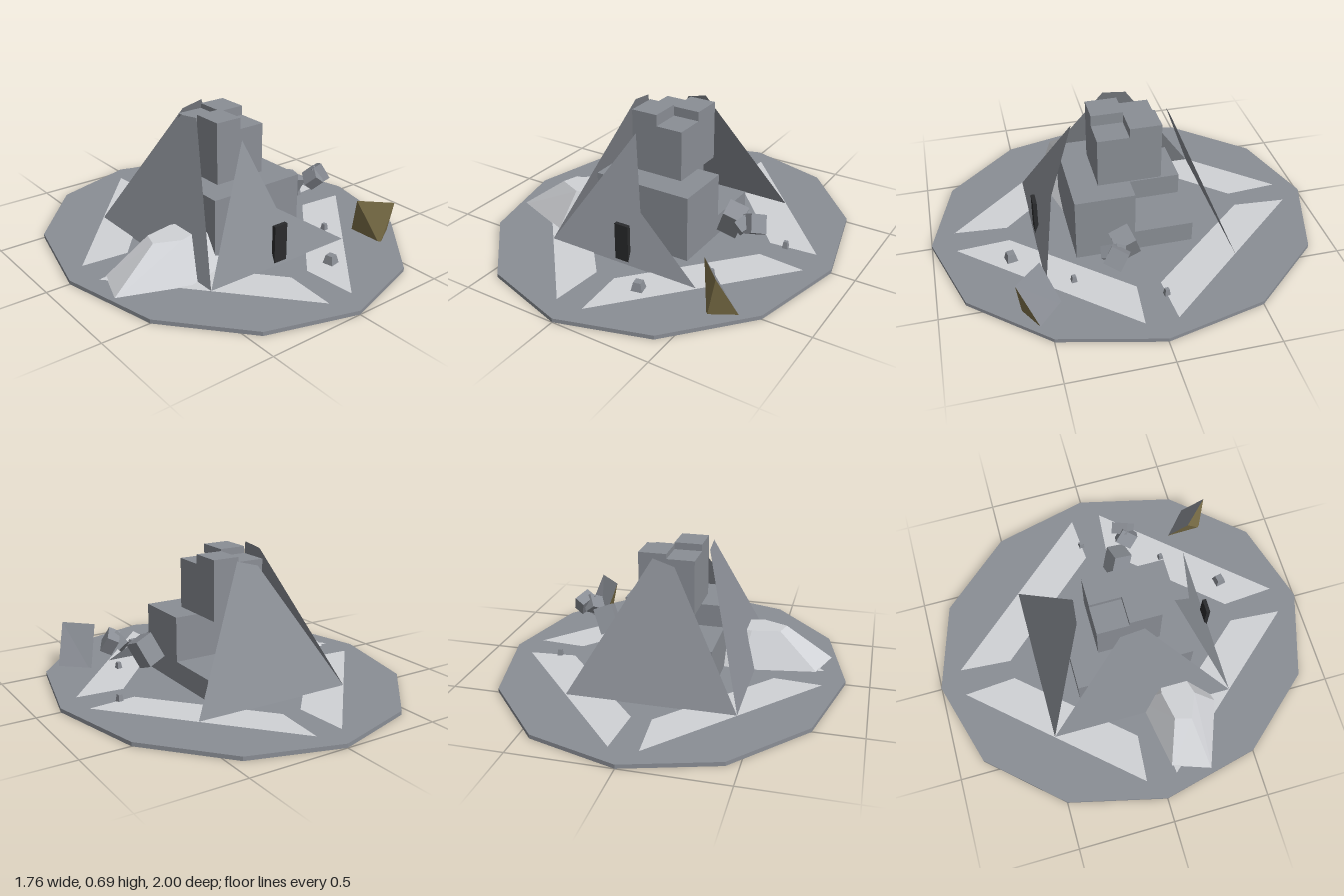
import * as THREE from 'three';

const mat = (name, color, side = THREE.FrontSide) => {
  const m = new THREE.MeshStandardMaterial({ color, side, flatShading: true });
  m.name = name;
  return m;
};

// Flat-shaded polygons: each face is a counter-clockwise list of points, fanned into triangles
function polygons(faces) {
  const p = [];
  for (const f of faces)
    for (let i = 1; i < f.length - 1; i++) p.push(...f[0], ...f[i], ...f[i + 1]);
  const g = new THREE.BufferGeometry();
  g.setAttribute('position', new THREE.Float32BufferAttribute(p, 3));
  g.computeVertexNormals();
  return g;
}

export function createModel() {
  const group = new THREE.Group();
  const stone = mat('stone grey', 0x8a8e95);
  const shell = mat('wall grey', 0x8a8e95, THREE.DoubleSide);
  const ice = mat('pale ice', 0xd0d2d6);
  const olive = mat('olive brown', 0x80734a);
  const black = mat('door black', 0x2a2b2d);

  const add = (name, geo, material, x = 0, y = 0, z = 0) => {
    const m = new THREE.Mesh(geo, material);
    m.name = name;
    m.position.set(x, y, z);
    group.add(m);
    return m;
  };

  // Twelve-sided ground slab
  add('ground', new THREE.CylinderGeometry(1, 1, 0.02, 12).scale(0.88, 1, 1), stone, 0, 0.01);

  // Four pale strips laid on the ground, mirrored
  for (const sx of [1, -1]) for (const sz of [1, -1]) {
    const pts = [[0.07, 0.88], [0.77, 0.08], [0.53, 0.06], [0.05, 0.61]]
      .map(([x, z]) => [x * sx, 0.023, z * sz]);
    if (sx * sz < 0) pts.reverse();
    add('groundStrip', polygons([pts]), ice);
  }

  // Core: two tiers of four blocks [x sign, z sign, top height]
  const tier = (name, w, d, base, blocks) => {
    for (const [sx, sz, top] of blocks)
      add(name, new THREE.BoxGeometry(w, top - base, d), stone, sx * w / 2, (top + base) / 2, sz * d / 2);
  };
  tier('lowerBlock', 0.26, 0.3, 0.02, [[1, 1, 0.36], [-1, 1, 0.36], [1, -1, 0.13], [-1, -1, 0.245]]);
  tier('upperBlock', 0.14, 0.16, 0.36, [[1, 1, 0.617], [-1, 1, 0.675], [1, -1, 0.665], [-1, -1, 0.64]]);

  // Thin leaning walls: outline [along, height], moved inward as it rises
  const leanZ = (y) => 0.48 - 0.4 * (y - 0.02);
  const leanX = (y) => 0.42 - 0.35 * (y - 0.02);
  add('frontWall', polygons([
    [[-0.42, 0.02], [0.05, 0.265], [-0.06, 0.6]],
    [[-0.42, 0.02], [0.42, 0.02], [0.05, 0.265]],
  ].map((f) => f.map(([x, y]) => [x, y, leanZ(y)]))), shell);
  add('backWall', polygons([
    [[0.42, 0.02], [-0.42, 0.02], [-0.06, 0.63], [0.05, 0.66]].map(([x, y]) => [x, y, -leanZ(y)]),
  ]), shell);
  add('sideWall', polygons([
    [[-0.48, 0.02], [0.48, 0.02], [0.06, 0.685], [-0.06, 0.67]].map(([z, y]) => [-leanX(y), y, z]),
  ]), shell);

  add('door', new THREE.BoxGeometry(0.075, 0.195, 0.02), black, 0, 0.128, 0.465);

  // Ice mound: a six-sided frustum through the side wall
  const hex = [[0, 0.05], [-0.07, 0.3], [-0.46, 0.4], [-0.82, 0.265], [-0.75, 0.06], [-0.34, -0.01]];
  const low = hex.map(([x, z]) => [x, 0, z]);
  const high = hex.map(([x, z]) => [-0.41 + (x + 0.41) * 0.35, 0.197, 0.18 + (z - 0.18) * 0.4]);
  const moundFaces = [low, [...high].reverse()];
  for (let i = 0; i < 6; i++) {
    const j = (i + 1) % 6;
    moundFaces.push([low[j], low[i], high[i], high[j]]);
  }
  add('iceMound', polygons(moundFaces), ice);

  // Leaning wedge: grey outer slab with olive inner faces
  const a = [0.545, 0, 0.42], b = [0.68, 0, 0.54], e = [0.55, 0, 0.615];
  const c = [0.605, 0.23, 0.64], d = [0.475, 0.23, 0.51];
  add('wedgeSlab', polygons([[a, d, c, b]]), stone);
  add('wedgeInside', polygons([[d, e, c], [e, b, c], [d, a, e], [a, b, e]]), olive);

  // Tumbling blocks [size, position, rotation]
  for (const [s, p, r] of [
    [[0.1, 0.14, 0.1], [0.39, 0.19, 0.085], [0.35, 0.1, -0.4]],
    [[0.06, 0.08, 0.09], [0.495, 0.235, 0.165], [0.5, -0.5, -0.5]],
    [[0.06, 0.09, 0.09], [0.545, 0.245, 0.16], [-0.4, -0.5, 0.3]],
  ]) add('fallingBlock', new THREE.BoxGeometry(...s), stone, ...p).rotation.set(...r);

  // Small rocks [x, z, width, height, turn]
  for (const [x, z, w, h, turn] of [
    [0.195, 0.62, 0.065, 0.065, 0.2], [0.42, 0.345, 0.034, 0.055, 0.1], [0.61, -0.067, 0.034, 0.055, 0.1],
  ]) {
    const g = new THREE.CylinderGeometry(w * 0.4, w * 0.71, h, 4).rotateY(Math.PI / 4 + turn);
    add('smallRock', g, stone, x, h / 2, z);
  }

  return group;
}
